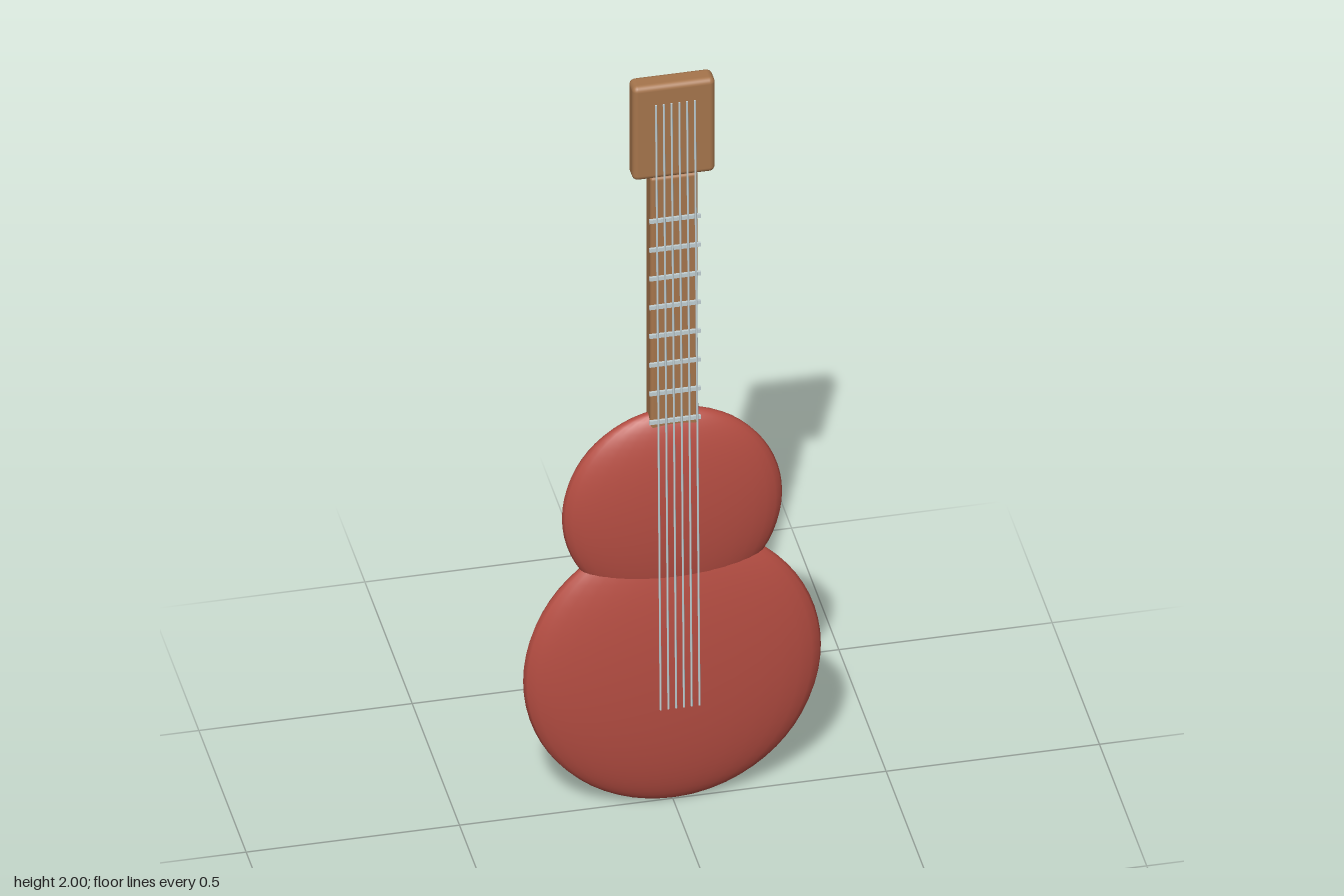
import * as THREE from 'three';
import { RoundedBoxGeometry } from 'three/addons/geometries/RoundedBoxGeometry.js';

const material = (name, color) => {
  const m = new THREE.MeshStandardMaterial({ color });
  m.name = name;
  return m;
};

export function createModel() {
  const red = material('red lacquer', 0xb54d42);
  const wood = material('brown wood', 0xa6754c);
  const steel = material('pale steel', 0xc2d0d4);
  const model = new THREE.Group();
  model.name = 'guitar';

  const add = (name, geometry, mat, x, y, z) => {
    const mesh = new THREE.Mesh(geometry, mat);
    mesh.name = name;
    mesh.position.set(x, y, z);
    model.add(mesh);
    return mesh;
  };

  // Body: two flattened ellipsoids
  const bout = (name, y, rx, ry, rz) =>
    add(name, new THREE.SphereGeometry(1, 32, 32).scale(rx, ry, rz), red, 0, y, -0.0085);
  bout('lowerBody', 0.372, 0.349, 0.372, 0.0715);
  bout('upperBody', 0.812, 0.258, 0.27, 0.062);

  // Neck and headstock, with softened edges
  add('neck', new RoundedBoxGeometry(0.112, 0.75, 0.052, 3, 0.008), wood, 0, 1.37, -0.008);
  add('headstock', new RoundedBoxGeometry(0.194, 0.26, 0.052, 3, 0.014), wood, 0, 1.87, -0.009);

  // Frets across the neck
  for (let i = 0; i < 8; i++) {
    add('fret', new THREE.BoxGeometry(0.12, 0.01, 0.006), steel, 0, 1.07 + i * 0.08, 0.023);
  }

  // Six strings, leaning from the body towards the headstock
  const bottom = new THREE.Vector3(0, 0.305, 0.077);
  const top = new THREE.Vector3(0, 1.955, 0.028);
  const span = top.clone().sub(bottom);
  const middle = bottom.clone().add(top).multiplyScalar(0.5);
  for (let i = 0; i < 6; i++) {
    const x = (i - 2.5) * 0.0182;
    const string = add('string', new THREE.CylinderGeometry(0.0025, 0.0025, span.length(), 8),
      steel, x, middle.y, middle.z);
    string.rotation.x = Math.atan2(span.z, span.y);
  }
  return model;
}
